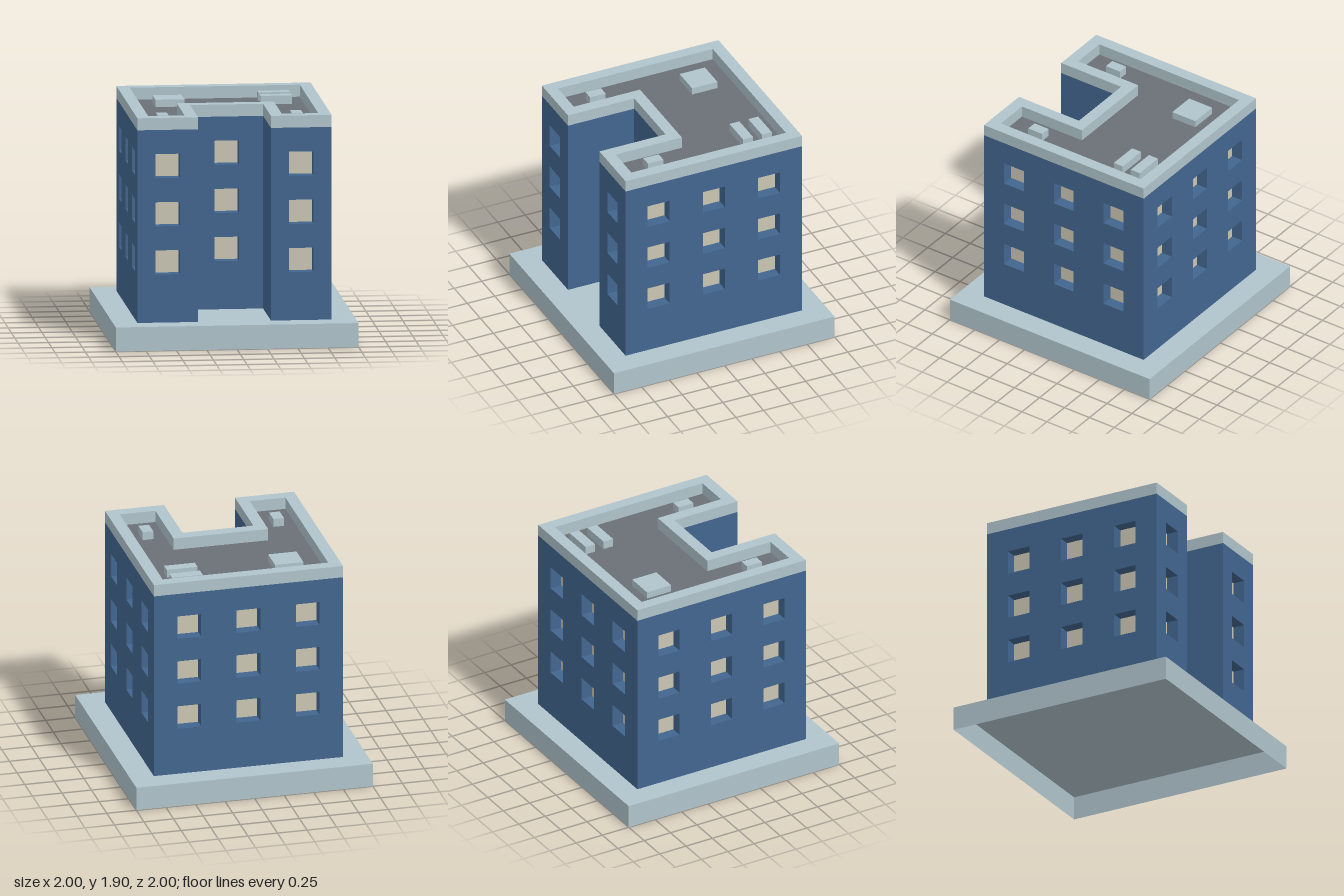
import * as THREE from 'three';
import { mergeGeometries } from 'three/addons/utils/BufferGeometryUtils.js';

const material = (name, color, side = THREE.FrontSide) => {
  const m = new THREE.MeshStandardMaterial({ color, side });
  m.name = name;
  return m;
};

export function createModel() {
  const model = new THREE.Group();
  model.name = 'apartmentBlock';
  const concrete = material('paleConcrete', 0xb0c4cc, THREE.DoubleSide);
  const blue = material('blueWall', 0x42668f);
  const glass = material('beigeWindow', 0xcac6b4);
  const roofGrey = material('greyRoof', 0x6a7077);

  const add = (name, geometry, mat, parent = model) => {
    const mesh = new THREE.Mesh(geometry, mat);
    mesh.name = name;
    parent.add(mesh);
    return mesh;
  };

  // Plinth: a box open at the bottom
  const plinth = new THREE.BoxGeometry(2, 0.2, 2).translate(0, 0.1, 0);
  const index = Array.from(plinth.index.array);
  index.splice(18, 6);
  plinth.setIndex(index);
  plinth.clearGroups();
  add('plinth', plinth, concrete);

  // Four inner faces of one window recess
  const size = 0.2, depth = 0.1;
  const reveal = mergeGeometries([0, 1, 2, 3].map((i) =>
    new THREE.PlaneGeometry(size, depth).rotateX(-Math.PI / 2)
      .translate(0, -size / 2, -depth / 2).rotateZ(i * Math.PI / 2)));
  const pane = new THREE.PlaneGeometry(size, size).translate(0, 0, -depth);

  // Wall face with a column of three recessed windows at each given x
  const facade = (name, width, columns, x, z, turn) => {
    const wall = new THREE.Group();
    wall.name = name;
    wall.position.set(x, 0, z);
    wall.rotation.y = turn;
    model.add(wall);
    const w = width / 2, h = size / 2;
    const rect = (x0, y0, x1, y1) =>
      [[x0, y0], [x1, y0], [x1, y1], [x0, y1]].map((p) => new THREE.Vector2(...p));
    const shape = new THREE.Shape(rect(-w, 0.2, w, 1.8));
    for (const cx of columns) {
      for (const cy of [0.7, 1.1, 1.5]) {
        shape.holes.push(new THREE.Path(rect(cx - h, cy - h, cx + h, cy + h)));
        add('windowReveal', reveal, blue, wall).position.set(cx, cy, 0);
        add('windowPane', pane, glass, wall).position.set(cx, cy, 0);
      }
    }
    add('wallFace', new THREE.ShapeGeometry(shape), blue, wall);
  };
  const q = Math.PI / 2;
  facade('backWall', 1.6, [-0.5, 0, 0.5], 0, -0.8, Math.PI);
  facade('courtyardBackWall', 0.6, [0], 0, 0.2, 0);
  for (const s of [-1, 1]) {
    const side = s > 0 ? 'left' : 'right';
    facade(side + 'OuterWall', 1.6, [-0.5, 0, 0.5], s * 0.8, 0, s * q);
    facade(side + 'WingFront', 0.5, [0], s * 0.55, 0.8, 0);
    facade(side + 'CourtyardWall', 0.6, [], s * 0.3, 0.5, -s * q);
  }

  // U-shaped outline drawn in x and -z, inset by t
  const outline = (t) => [
    [-0.8 + t, 0.8 - t], [-0.8 + t, -0.8 + t], [-0.3 - t, -0.8 + t], [-0.3 - t, -0.2 + t],
    [0.3 + t, -0.2 + t], [0.3 + t, -0.8 + t], [0.8 - t, -0.8 + t], [0.8 - t, 0.8 - t],
  ].map((p) => new THREE.Vector2(...p));

  // Parapet and sunken roof deck
  const rim = new THREE.Shape(outline(0));
  rim.holes.push(new THREE.Path(outline(0.1)));
  add('parapet', new THREE.ExtrudeGeometry(rim, { depth: 0.1, bevelEnabled: false })
    .rotateX(-q).translate(0, 1.8, 0), concrete);
  add('roofDeck', new THREE.ShapeGeometry(new THREE.Shape(outline(0.1)))
    .rotateX(-q).translate(0, 1.8, 0), roofGrey);

  // Rooftop units: name, x, z, width, height, length
  for (const [name, x, z, w, h, l] of [
    ['roofHatch', -0.41, -0.435, 0.24, 0.06, 0.23],
    ['backVent', 0.47, -0.575, 0.26, 0.07, 0.09],
    ['frontVent', 0.47, -0.405, 0.26, 0.07, 0.09],
    ['rightWingVent', -0.555, 0.43, 0.09, 0.07, 0.14],
    ['leftWingVent', 0.55, 0.43, 0.09, 0.07, 0.14],
  ]) {
    add(name, new THREE.BoxGeometry(w, h, l).translate(x, 1.8 + h / 2, z), concrete);
  }
  return model;
}
